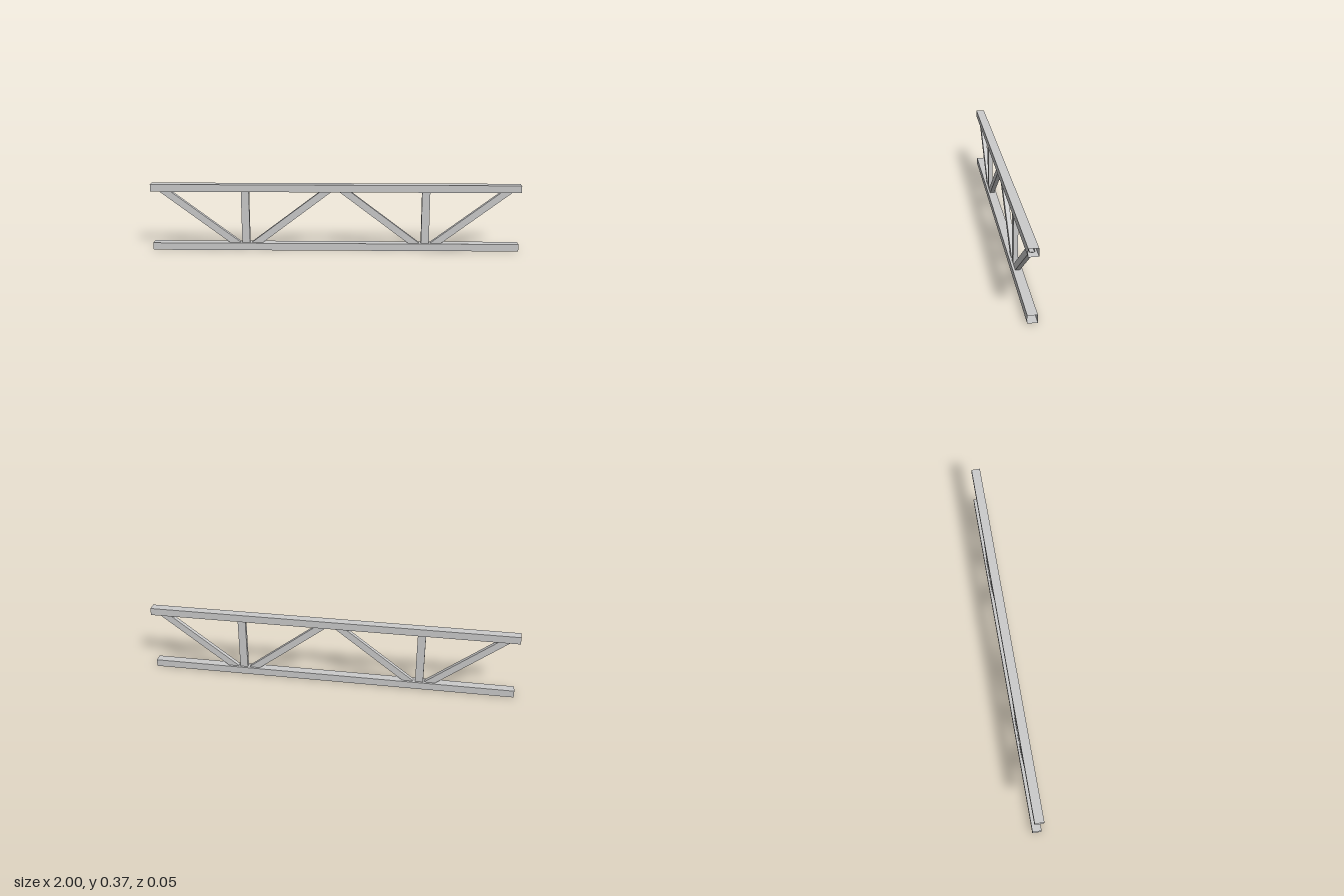
import * as THREE from 'three';

const HEIGHT = 0.368, CHORD_H = 0.04, CHORD_D = 0.048, WEB_D = 0.024;

const material = new THREE.MeshStandardMaterial({
  color: 0xcccccc, flatShading: true, side: THREE.DoubleSide,
});

// Open-ended rectangular tube running from (x1, y1) to (x2, y2)
function tube(name, x1, y1, x2, y2, width, depth) {
  const length = Math.hypot(x2 - x1, y2 - y1);
  const box = new THREE.CylinderGeometry(Math.SQRT1_2, Math.SQRT1_2, 1, 4, 1, true);
  box.rotateY(Math.PI / 4);
  box.scale(width, length, depth);
  const geometry = box.toNonIndexed();
  geometry.computeVertexNormals();
  const mesh = new THREE.Mesh(geometry, material);
  mesh.name = name;
  mesh.position.set((x1 + x2) / 2, (y1 + y2) / 2, 0);
  mesh.rotation.z = Math.atan2(y2 - y1, x2 - x1) - Math.PI / 2;
  return mesh;
}

export function createModel() {
  const truss = new THREE.Group();
  truss.name = 'truss';

  // Long hollow chords
  const low = CHORD_H / 2, high = HEIGHT - CHORD_H / 2;
  truss.add(tube('bottomChord', -1, low, 1, low, CHORD_H, CHORD_D));
  truss.add(tube('topChord', -1, high, 1, high, CHORD_H, CHORD_D));

  // Web members, mirrored about the middle; their ends sit inside the chords
  for (const [side, s] of [['left', 1], ['right', -1]]) {
    truss.add(tube(side + 'Post', s * 0.49, low, s * 0.49, high, 0.043, WEB_D));
    truss.add(tube(side + 'OuterDiagonal', s * 0.531, 0.028, s * 0.949, 0.346, 0.037, WEB_D));
    truss.add(tube(side + 'InnerDiagonal', s * 0.445, 0.028, s * 0.027, 0.346, 0.037, WEB_D));
  }
  return truss;
}
